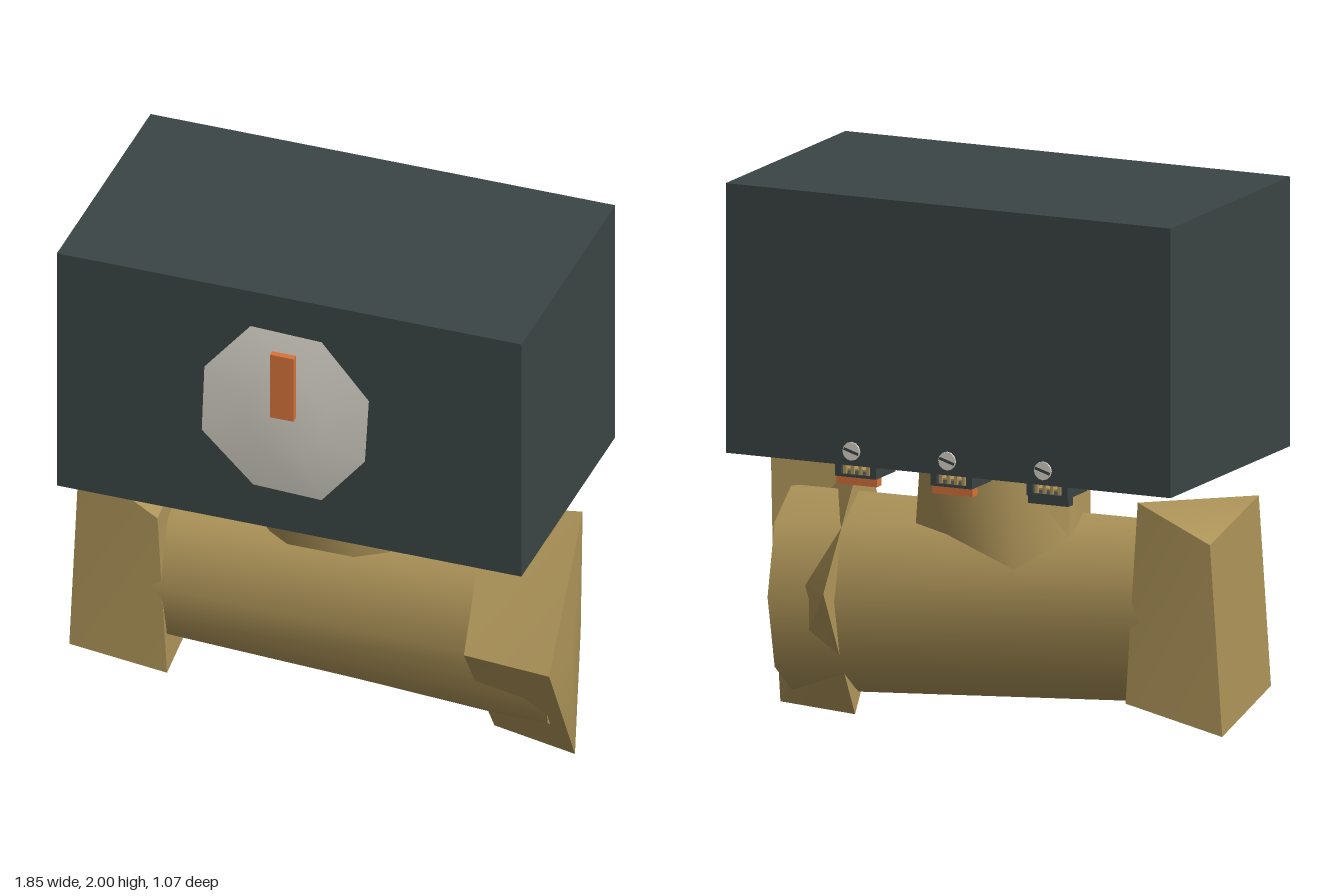
import * as THREE from 'three';
import { toCreasedNormals } from 'three/addons/utils/BufferGeometryUtils.js';

const mat = (name, color) => new THREE.MeshStandardMaterial({ name, color });

// Skin between rings of [x, y, z] points, closed at both ends by fans
function loft(rings, crease = 0.9) {
  const n = rings[0].length;
  const pos = rings.flat(2);
  const idx = [];
  for (let r = 0; r < rings.length - 1; r++) {
    for (let i = 0; i < n; i++) {
      const j = (i + 1) % n;
      const a = r * n + i, b = r * n + j, c = a + n, d = b + n;
      idx.push(a, b, c, b, d, c);
    }
  }
  [0, rings.length - 1].forEach((r, end) => {
    const centre = [0, 1, 2].map((k) => rings[r].reduce((s, p) => s + p[k], 0) / n);
    const ci = pos.length / 3;
    pos.push(...centre);
    for (let i = 0; i < n; i++) {
      const a = r * n + i, b = r * n + (i + 1) % n;
      if (end) idx.push(a, b, ci);
      else idx.push(b, a, ci);
    }
  });
  const g = new THREE.BufferGeometry();
  g.setAttribute('position', new THREE.Float32BufferAttribute(pos, 3));
  g.setIndex(idx);
  return toCreasedNormals(g, crease);
}

// Ring across the pipe: [z, y] pairs at a given x
const section = (x, pts) => pts.map(([z, y]) => [x, y, z]);
const ellipse = (x, cy, cz, ry, rz, n = 8) => section(x, Array.from({ length: n }, (_, i) => {
  const a = (i / n) * Math.PI * 2;
  return [cz + rz * Math.sin(a), cy + ry * Math.cos(a)];
}));

export function createModel() {
  const model = new THREE.Group();
  model.name = 'valveActuator';
  const dark = mat('charcoal', 0x3c4545);
  const brass = mat('brass', 0xb0965a);
  const pale = mat('pale grey', 0xdad6cc);
  const orange = mat('orange', 0xd8743a);

  const add = (name, geo, m, parent = model) => {
    const mesh = new THREE.Mesh(geo, m);
    mesh.name = name;
    parent.add(mesh);
    return mesh;
  };
  const box = (name, m, x0, x1, y0, y1, z0, z1, parent) => {
    const g = new THREE.BoxGeometry(x1 - x0, y1 - y0, z1 - z0);
    g.translate((x0 + x1) / 2, (y0 + y1) / 2, (z0 + z1) / 2);
    return add(name, g, m, parent);
  };

  // Actuator housing
  box('housing', dark, -0.885, 0.88, 1.015, 2, -0.53, 0.45);

  // Dial: faceted lens, thinner at top and bottom
  const rim = [[-0.31, 1.67], [-0.32, 1.4], [-0.13, 1.2], [0.13, 1.19],
    [0.3, 1.4], [0.315, 1.66], [0.13, 1.86], [-0.14, 1.87]];
  const dialRing = (s, z) => rim.map(([x, y]) => [x * s, 1.53 + (y - 1.53) * s, z(y)]);
  add('dial', loft([
    dialRing(0.85, () => 0.448),
    dialRing(1, (y) => (Math.abs(y - 1.53) > 0.2 ? 0.475 : 0.49)),
    dialRing(0.5, () => 0.5),
  ]), pale);
  box('pointer', orange, -0.045, 0.045, 1.54, 1.805, 0.51, 0.535);

  // Pipe body, deeper towards the left end
  add('pipeBody', loft([
    ellipse(-0.85, 0.49, -0.04, 0.325, 0.22),
    ellipse(0.85, 0.435, -0.05, 0.375, 0.2),
  ]), brass);

  // Twisted end collar on the right
  add('rightCollar', loft([
    section(-0.925, [[0.11, 0.905], [0.21, 0.19], [-0.19, 0.08], [-0.29, 0.8]]),
    section(-0.59, [[0.21, 0.795], [0.11, 0.08], [-0.29, 0.19], [-0.19, 0.905]]),
  ]), brass);

  // Diamond end collar on the left, cut back behind
  add('leftCollar', loft([
    section(0.585, [[0, 0.98], [0.24, 0.49], [-0.08, 0], [-0.34, 0.49]]),
    section(0.92, [[-0.08, 0.98], [0.27, 0.49], [0, 0], [-0.06, 0.49]]),
  ]), brass);

  // Neck between pipe and housing, with a low corner at the back
  const neckRing = (rx, zf, zb, y) => Array.from({ length: 8 }, (_, i) => {
    const a = ((i + 0.5) / 8) * Math.PI * 2;
    const k = 1 / Math.cos(Math.PI / 8);
    return [rx * k * Math.sin(a), y, (zf + zb) / 2 + ((zf - zb) / 2) * k * Math.cos(a)];
  });
  const low = neckRing(0.305, 0.13, -0.28, 0.74);
  low[4] = [-0.15, 0.64, -0.3];
  add('neck', loft([low, neckRing(0.295, 0.155, -0.26, 1.02)]), brass);

  // Three terminals under the back edge, each with a slotted screw above
  [-0.38, 0, 0.38].forEach((x) => {
    const t = new THREE.Group();
    t.name = 'terminal';
    t.position.x = x;
    model.add(t);
    for (const s of [-1, 1]) {
      box('terminalWall', dark, s * 0.07 - 0.012, s * 0.07 + 0.012, 0.965, 1.02, -0.5, -0.34, t);
    }
    box('terminalFloor', dark, -0.08, 0.08, 0.965, 0.975, -0.5, -0.34, t);
    box('contactBar', brass, -0.06, 0.06, 0.985, 0.992, -0.48, -0.36, t);
    for (let i = 0; i < 4; i++) {
      const px = -0.045 + i * 0.03;
      box('contactPin', brass, px - 0.006, px + 0.006, 0.975, 1.015, -0.495, -0.485, t);
    }
    box('terminalTab', x < -0.1 ? dark : orange, -0.08, 0.08, 0.935, 0.965, -0.49, -0.45, t);

    const head = new THREE.CylinderGeometry(0.034, 0.034, 0.012, 12);
    head.rotateX(Math.PI / 2);
    head.translate(0, 1.068, -0.531);
    add('screwHead', head, pale, t);
    const slot = box('screwSlot', dark, -0.03, 0.03, -0.005, 0.005, -0.539, -0.534, t);
    slot.position.y = 1.068;
    slot.rotation.z = 0.3;
  });

  return model;
}
